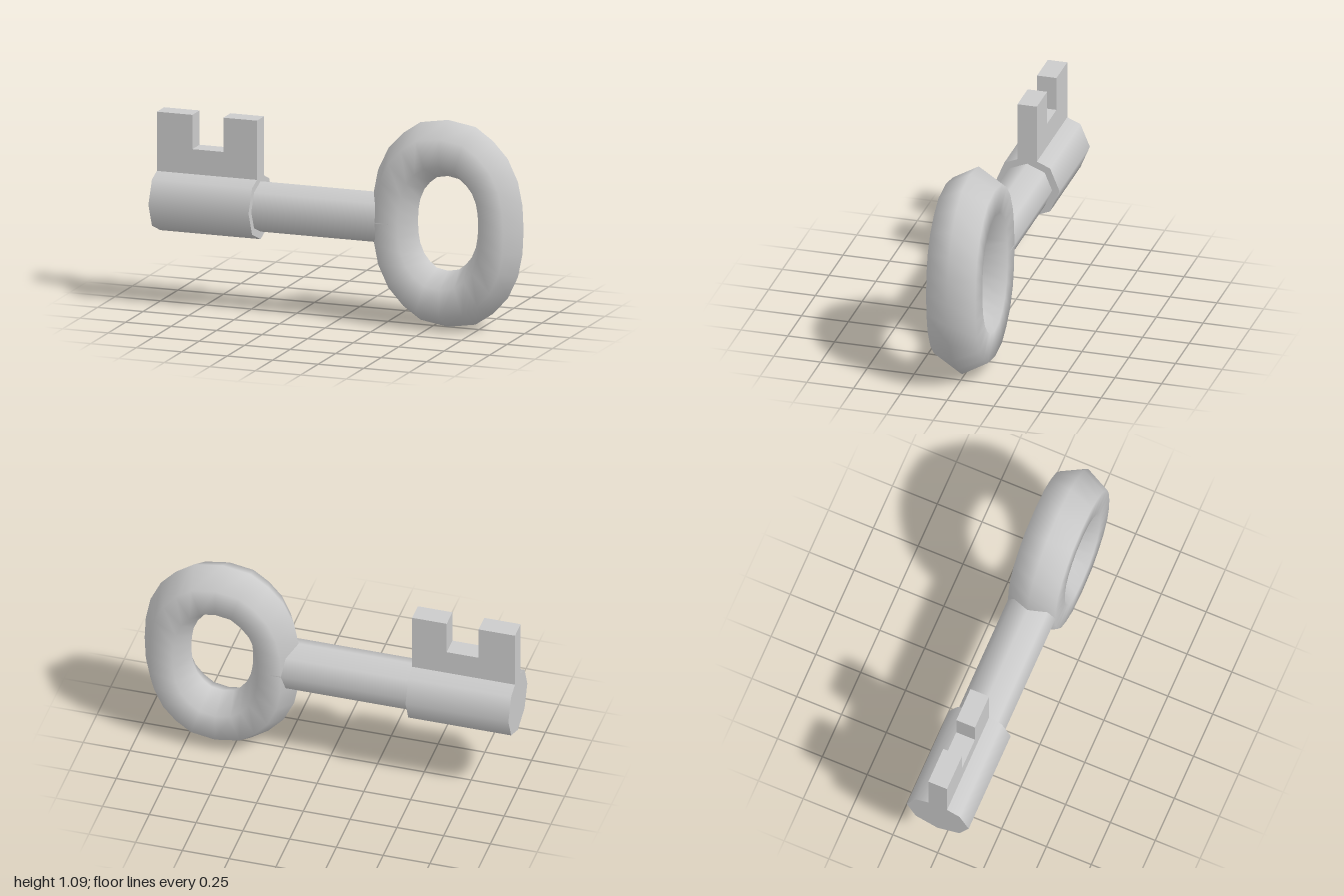
import * as THREE from 'three';

const AXIS_Y = 0.552;
const BOW_X = 0.58;

function addMesh(group, name, geometry) {
  const mesh = new THREE.Mesh(geometry, new THREE.MeshStandardMaterial({ color: 0xcccccc }));
  mesh.name = name;
  group.add(mesh);
  return mesh;
}

// Eight-sided rod along x, from x0 to x1, with smooth sides
function rod(x0, x1, r0, r1) {
  const g = new THREE.CylinderGeometry(r1, r0, x1 - x0, 8);
  g.rotateZ(-Math.PI / 2);
  g.translate((x0 + x1) / 2, AXIS_Y, 0);
  return g;
}

// Oval ring with a hexagonal section that is thicker at top and bottom
function bowGeometry() {
  // One quarter of the outline, from the top round to the side
  const quarter = [[0, 1], [0.365, 0.955], [0.595, 0.835], [0.79, 0.675], [0.925, 0.46], [0.985, 0.235], [1, 0]];
  const outline = [
    ...quarter,
    ...quarter.slice(0, -1).reverse().map(([x, y]) => [x, -y]),
    ...quarter.slice(1).map(([x, y]) => [-x, -y]),
    ...quarter.slice(1, -1).reverse().map(([x, y]) => [-x, y]),
  ];
  const sides = 6, n = outline.length;
  const positions = [], index = [];
  for (const [ux, uy] of outline) {
    for (let j = 0; j < sides; j++) {
      const a = (j / sides) * Math.PI * 2, c = Math.cos(a);
      positions.push(
        BOW_X + ux * (0.29 + 0.125 * c),
        AXIS_Y + uy * (0.398 + 0.148 * c),
        0.132 * Math.sin(a) / Math.sin(Math.PI / 3),
      );
    }
  }
  for (let i = 0; i < n; i++) {
    for (let j = 0; j < sides; j++) {
      const i2 = (i + 1) % n, j2 = (j + 1) % sides;
      const a = i * sides + j, b = i2 * sides + j, c = i2 * sides + j2, d = i * sides + j2;
      index.push(a, d, b, b, d, c);
    }
  }
  const g = new THREE.BufferGeometry();
  g.setAttribute('position', new THREE.Float32BufferAttribute(positions, 3));
  g.setIndex(index);
  g.computeVertexNormals();
  return g;
}

// Notched plate standing on the collar
function bitGeometry() {
  const shape = new THREE.Shape([
    [-1, 0.6], [-0.45, 0.6], [-0.45, 1.016], [-0.635, 1.016],
    [-0.635, 0.835], [-0.805, 0.835], [-0.805, 1.016], [-1, 1.016],
  ].map(([x, y]) => new THREE.Vector2(x, y)));
  const g = new THREE.ExtrudeGeometry(shape, { depth: 0.104, bevelEnabled: false });
  g.translate(0, 0, -0.052);
  return g;
}

export function createModel() {
  const key = new THREE.Group();
  key.name = 'key';
  addMesh(key, 'bow', bowGeometry());
  addMesh(key, 'shaft', rod(-0.5, 0.3, 0.133, 0.133));
  addMesh(key, 'collar', rod(-1, -0.45, 0.173, 0.173));
  addMesh(key, 'bit', bitGeometry());
  return key;
}
